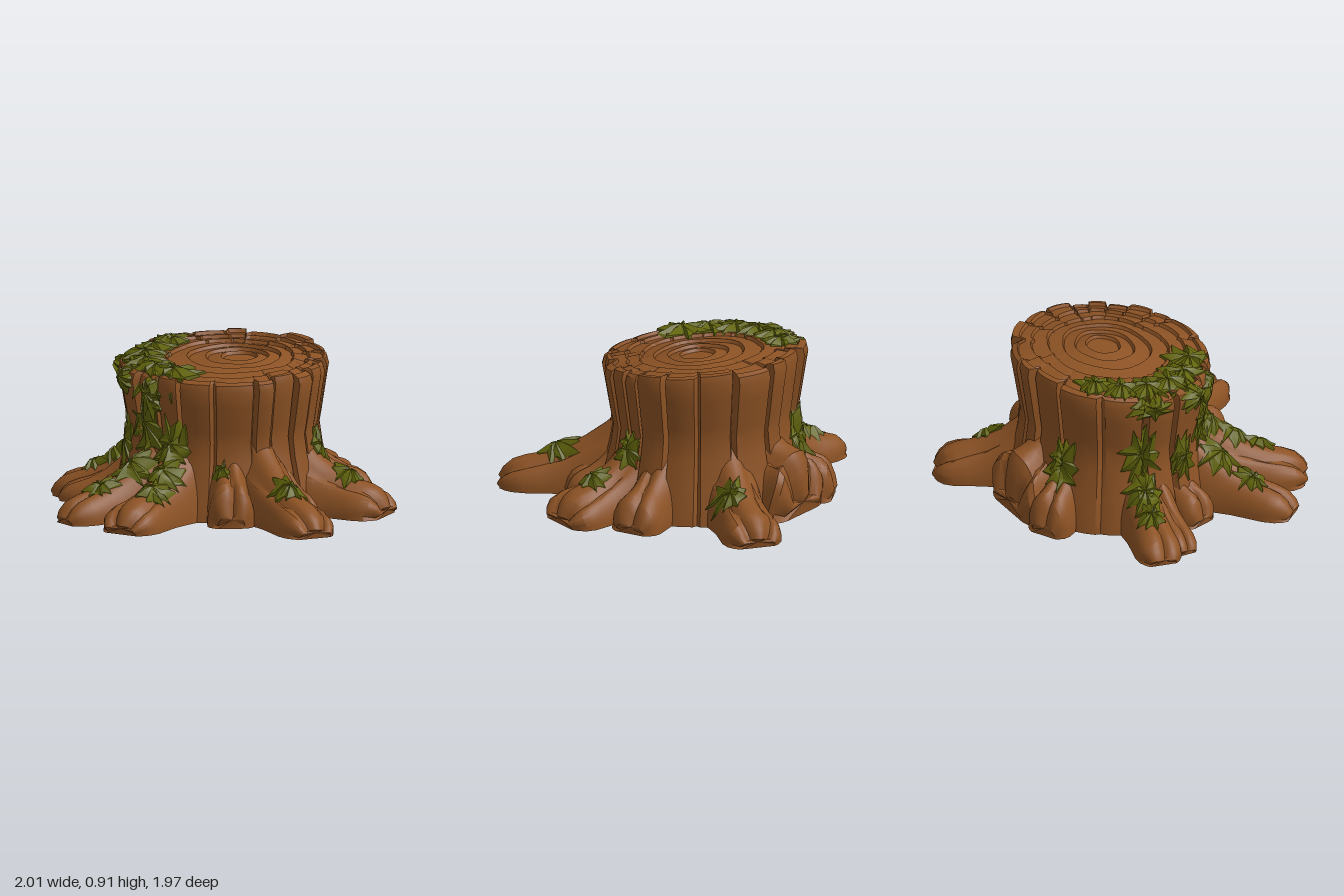
import * as THREE from 'three';
import { toCreasedNormals } from 'three/addons/utils/BufferGeometryUtils.js';

const V = (x, y, z) => new THREE.Vector3(x, y, z);
const UP = V(0, 1, 0);
const CENTRE = V(0, 0, -0.06), RX = 0.575, RZ = 0.54;
const topHeight = z => 0.83 - 0.09 * z;

function seeded(s) {
  return () => ((s = (s * 16807) % 2147483647) / 2147483647);
}

// Skin through closed loops of equal length, with a fan cap at each end
function loft(loops) {
  const pos = [], idx = [], n = loops[0].length, last = loops.length - 1;
  const add = p => pos.push(p.x, p.y, p.z) / 3 - 1;
  loops.forEach(l => l.forEach(add));
  const mid = l => add(l.reduce((a, p) => a.add(p), V(0, 0, 0)).divideScalar(n));
  const c0 = mid(loops[0]), c1 = mid(loops[last]);
  for (let j = 0; j < n; j++) {
    const k = (j + 1) % n;
    for (let i = 0; i < last; i++) {
      const a = i * n + j, b = i * n + k;
      idx.push(a, a + n, b + n, a, b + n, b);
    }
    idx.push(c0, j, k, c1, last * n + k, last * n + j);
  }
  const g = new THREE.BufferGeometry();
  g.setAttribute('position', new THREE.Float32BufferAttribute(pos, 3));
  g.setIndex(idx);
  return toCreasedNormals(g, 0.5);
}

// Trunk with upright bark plates and a slanted, ringed cut
function trunkGeometry() {
  const rnd = seeded(77), count = 19;
  const widths = Array.from({ length: count }, () => 0.6 + rnd());
  const total = widths.reduce((a, b) => a + b);
  const samples = [];
  let start = 0;
  for (const w of widths) {
    const step = (w / total) * Math.PI * 2;
    const out = (rnd() - 0.5) * 0.05, rise = (rnd() - 0.5) * 0.025, deep = 0.035 + rnd() * 0.07;
    [0, 0.1, 0.3, 0.5, 0.72, 0.92].forEach((f, i) => samples.push({
      a: start + f * step, out: out - (i === 0 ? deep : 0) + 0.012 * Math.sin(f * Math.PI), rise,
    }));
    start += step;
  }
  const at = (s, v, r, bark) => {
    const k = r + s.out * bark;
    const x = RX * k * Math.cos(s.a), z = CENTRE.z + RZ * k * Math.sin(s.a);
    return V(x, (topHeight(z) + s.rise * bark) * v, z);
  };
  // Height fraction and radius factor, from the ground up
  const side = [[0, 1.1], [0.08, 1.08], [0.25, 1.02], [0.42, 0.96], [0.56, 0.93], [0.64, 0.95], [0.82, 0.99], [0.95, 1.02], [1, 1]];
  const loops = side.map(([v, r]) => samples.map(s => at(s, v, r, 0.5 + v * 0.9)));
  // Growth rings: each steps down on its inner edge
  const ring = (r, dy) => loops.push(samples.map(s =>
    at(s, 1, r * (1 + 0.02 * Math.sin(s.a * 5 + r * 9)), r ** 4).add(V(0.1 * (1 - r), dy, -0.03 * (1 - r)))));
  for (const r of [0.95, 0.8, 0.63, 0.46, 0.31, 0.18]) {
    ring(r, 0.01);
    ring(r - 0.018, -0.008);
  }
  return loft(loops);
}

// Roots: tip x, tip z, half width at the tip, height near the tip
const ROOTS = [
  [0.51, -0.92, 0.16, 0.17],
  [0.82, -0.23, 0.14, 0.2],
  [0.96, 0.17, 0.19, 0.17],
  [0.58, 0.46, 0.08, 0.16],
  [0.67, 0.87, 0.15, 0.16],
  [0.16, 0.67, 0.12, 0.25],
  [-0.43, 0.93, 0.16, 0.16],
  [-0.79, 0.69, 0.12, 0.15],
  [-0.67, 0.19, 0.11, 0.18],
  [-0.98, -0.2, 0.12, 0.14],
  [-0.93, -0.03, 0.08, 0.11],
  [-0.4, -0.68, 0.12, 0.24],
  [-0.07, -0.74, 0.23, 0.36],
].map(([x, z, width, height]) => {
  const dir = V(x, 0, z).sub(CENTRE), reach = dir.length();
  dir.normalize();
  const base = CENTRE.clone().addScaledVector(dir, 0.36);
  const across = UP.clone().cross(dir);
  return {
    dir, across, width,
    spine: (t, side) => base.clone().addScaledVector(dir, t * (reach - 0.36)).addScaledVector(across, side),
    crest: t => height + (0.58 - height) * (1 - t) ** 2.2,
  };
});

// Root: an arched section, pointed near the trunk and lobed at the tip
function rootGeometry({ dir, across, width, spine, crest }, seed) {
  const phase = seeded(seed * 131 + 7)() * 6, arch = 24, toes = width > 0.145 ? 3 : 2;
  return loft([0, 0.12, 0.25, 0.4, 0.55, 0.7, 0.82, 0.91, 0.97, 1].map(t => {
    const end = t < 0.82 ? 1 : Math.sqrt(1 - ((t - 0.82) / 0.19) ** 2);
    const w = THREE.MathUtils.lerp(0.1 + width * 0.5, width, t) * (0.45 + 0.55 * end) * (1 + 0.06 * Math.sin(t * 9 + phase));
    const bend = 0.03 * Math.sin(t * Math.PI) * Math.sin(phase);
    const loop = [];
    for (let i = 0; i <= arch; i++) {
      const f = i / arch, phi = f * Math.PI;
      const lobe = Math.abs(Math.sin(f * toes * Math.PI + 0.25 * Math.sin(t * 5 + phase)));
      const cut = 1 - (0.06 + 0.17 * t) * (1 - lobe) ** 3;
      const push = i > 0 && i < arch ? 0.22 * t * t * width * (lobe - 0.5) : 0;
      loop.push(spine(t, bend)
        .addScaledVector(dir, push)
        .addScaledVector(across, -Math.cos(phi) * w * (0.94 + 0.06 * cut))
        .setY(crest(t) * end * cut * Math.max(0, Math.sin(phi)) ** (1.35 - 0.6 * t)));
    }
    return loop;
  }));
}

// Moss: a jagged low dome pressed onto the wood against its facing direction
function mossGeometry(wood, centre, facing, su, sv, seed) {
  const rnd = seeded(seed * 977 + 13), count = su > 0.07 ? 18 : 12;
  const n = facing.normalize();
  const u = V(n.z, 0, -n.x).normalize(), v = u.clone().cross(n);
  const ray = new THREE.Raycaster();
  const drop = (a, b) => {
    const from = centre.clone().addScaledVector(u, a).addScaledVector(v, b).addScaledVector(n, 0.4);
    ray.set(from, n.clone().negate());
    const hit = ray.intersectObjects(wood, false)[0];
    return { from, depth: hit ? hit.distance : 1 };
  };
  const middle = Math.min(drop(0, 0).depth, 0.6);
  const spikes = Array.from({ length: count }, (_, j) => (j % 2 ? 0.62 + rnd() * 0.12 : 0.9 + rnd() * 0.3));
  // Radius fraction and lift above the wood, from the buried edge to the crown
  const dome = [[1, -0.012], [0.97, 0.01], [0.72, 0.022], [0.45, 0.034], [0.18, 0.036]];
  return loft(dome.map(([f, lift]) => spikes.map((s, j) => {
    const a = (j / count) * Math.PI * 2 + 0.15 * Math.sin(j * 2.3);
    const r = f * THREE.MathUtils.lerp(0.85, s, f);
    const { from, depth } = drop(Math.cos(a) * r * su, Math.sin(a) * r * sv);
    const d = THREE.MathUtils.clamp(depth, middle - 0.14, middle + 0.14);
    return from.addScaledVector(n, lift - d + (j % 2 ? -0.006 : 0.004));
  })));
}

// Moss on roots: root index, distance along it, sideways shift, half size
const ROOT_MOSS = [
  [0, 0.55, -0.07, 0.1], [2, 0.3, 0.05, 0.09], [2, 0.62, 0, 0.09], [4, 0.58, 0, 0.1], [5, 0.55, -0.05, 0.055],
  [6, 0.22, -0.01, 0.12], [6, 0.42, 0.03, 0.11], [6, 0.62, 0.05, 0.09],
  [7, 0.14, 0, 0.12], [7, 0.38, 0.02, 0.12], [7, 0.66, 0, 0.09], [8, 0.4, 0, 0.09],
  [9, 0.2, 0, 0.12], [9, 0.42, 0, 0.12], [9, 0.62, 0, 0.09], [11, 0.42, 0, 0.12],
];

// Moss hanging down the bark: angle, height, half width, half length
const HANGING_MOSS = [[2.25, 0.7, 0.09, 0.16], [2.65, 0.76, 0.12, 0.11], [3.2, 0.79, 0.14, 0.09]];

export function createModel() {
  const bark = new THREE.MeshStandardMaterial({ color: 0x8c5224 });
  bark.name = 'bark brown';
  const green = new THREE.MeshStandardMaterial({ color: 0x62650c });
  green.name = 'moss green';
  const model = new THREE.Group();
  model.name = 'treeStump';
  const add = (geometry, material, name) => {
    const mesh = new THREE.Mesh(geometry, material);
    mesh.name = name;
    model.add(mesh);
    return mesh;
  };

  const wood = [add(trunkGeometry(), bark, 'trunk')];
  ROOTS.forEach((root, i) => wood.push(add(rootGeometry(root, i + 1), bark, `root${i + 1}`)));

  let seed = 0;
  const addMoss = (name, centre, facing, su, sv) =>
    add(mossGeometry(wood, centre, facing, su, sv, ++seed), green, name + seed);

  // Moss along the left of the cut
  for (let i = 0; i < 6; i++) {
    const a = 2.1 + i * 0.35, size = 0.17 - i * 0.01;
    const z = CENTRE.z + 0.78 * RZ * Math.sin(a);
    addMoss('rimMoss', V(0.78 * RX * Math.cos(a), topHeight(z), z), V(-0.1, 1, 0.05), size, size * 0.9);
  }
  for (const [a, y, su, sv] of HANGING_MOSS) {
    const out = V(Math.cos(a), 0.15, Math.sin(a));
    addMoss('hangingMoss', V(RX * out.x, y, CENTRE.z + RZ * out.z), out, su, sv);
  }
  for (const [i, t, side, size] of ROOT_MOSS) {
    const { spine, crest, dir } = ROOTS[i];
    addMoss('rootMoss', spine(t, side).setY(crest(t)), UP.clone().addScaledVector(dir, 1.4 * (1 - t)), size, size * 1.2);
  }
  return model;
}
